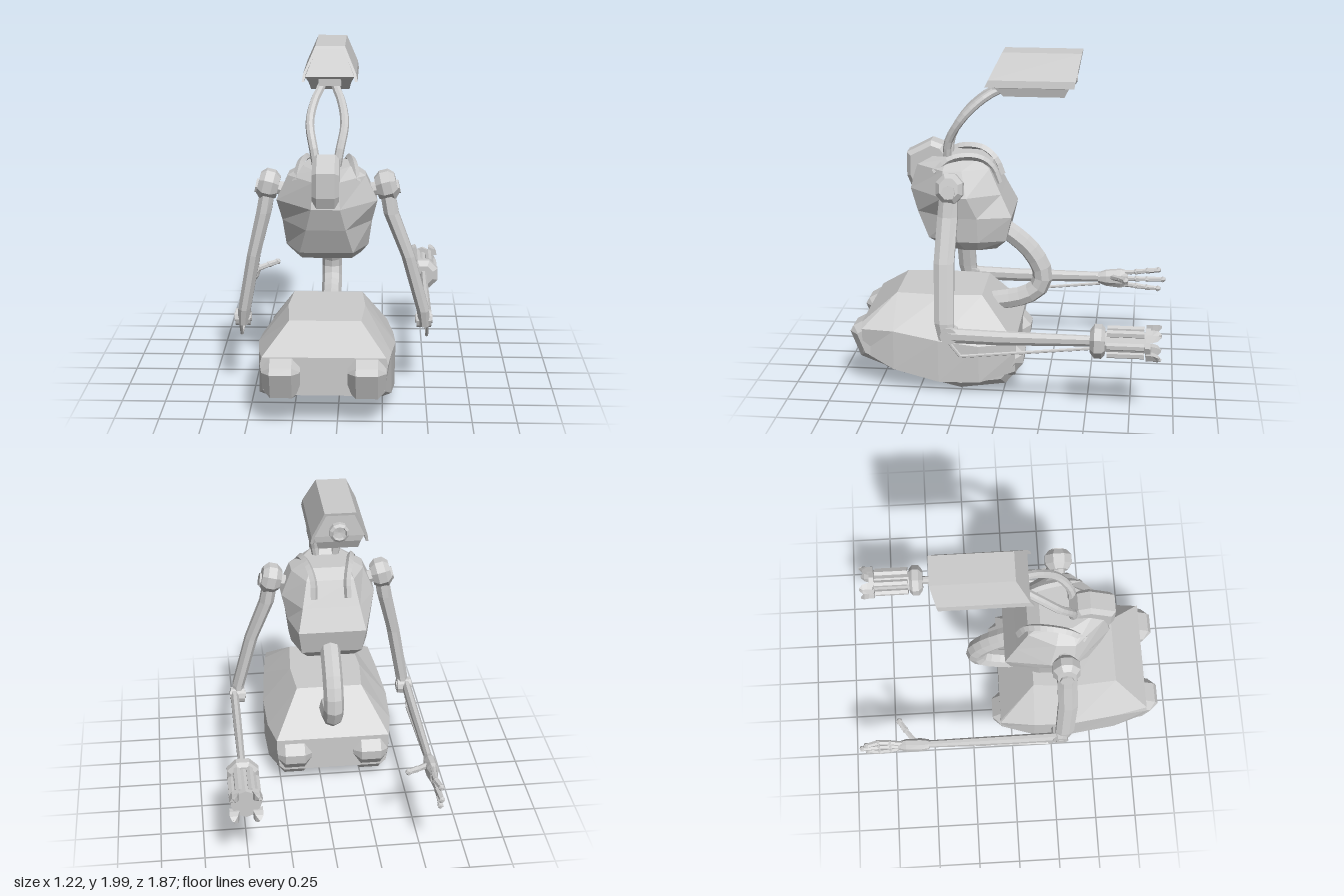
import * as THREE from 'three';

const V = (x, y, z) => new THREE.Vector3(x, y, z);
const mat = new THREE.MeshStandardMaterial({ color: 0xcccccc, flatShading: true });
const CX = -0.066; // centre line of the body

function add(parent, name, geo, x = 0, y = 0, z = 0) {
  const m = new THREE.Mesh(geo, mat);
  m.name = name;
  m.position.set(x, y, z);
  parent.add(m);
  return m;
}

// Closed skin over a row of rings with equal point counts, turned to face outward.
function loft(rings) {
  const n = rings[0].length, tris = [];
  for (let r = 0; r + 1 < rings.length; r++) {
    for (let i = 0; i < n; i++) {
      const j = (i + 1) % n, [a, b] = [rings[r], rings[r + 1]];
      tris.push([a[i], a[j], b[j]], [a[i], b[j], b[i]]);
    }
  }
  const cap = (ring, flip) => {
    const c = V(0, 0, 0);
    ring.forEach(p => c.addScaledVector(p, 1 / n));
    ring.forEach((p, i) => {
      const q = ring[(i + 1) % n];
      tris.push(flip ? [c, q, p] : [c, p, q]);
    });
  };
  cap(rings[0], true);
  cap(rings[rings.length - 1], false);
  const o = rings[0][0];
  let vol = 0;
  for (const [a, b, c] of tris) vol += a.clone().sub(o).dot(b.clone().sub(o).cross(c.clone().sub(o)));
  if (vol < 0) tris.forEach(t => t.reverse());
  const g = new THREE.BufferGeometry().setFromPoints(tris.flat());
  g.computeVertexNormals();
  return g;
}

// Eight-sided limb: stations of [x, y, z, radiusX, radius across], along y or z.
function limb(stations, axis) {
  return loft(stations.map(([x, y, z, a, b]) => Array.from({ length: 8 }, (_, i) => {
    const t = (i + 0.5) * Math.PI / 4, u = a * Math.cos(t) * 1.08, v = b * Math.sin(t) * 1.08;
    return axis === 'y' ? V(x + u, y, z + v) : V(x + u, y + v, z);
  })));
}

// Side profile of [z, y] points given thickness along x, with chamfered edges.
function slab(profile, width, bevel) {
  const s = new THREE.Shape(profile.map(p => new THREE.Vector2(...p)));
  const g = new THREE.ExtrudeGeometry(s, { depth: width - 2 * bevel, bevelThickness: bevel, bevelSize: bevel, bevelOffset: -bevel, bevelSegments: 1 });
  return g.translate(0, 0, bevel - width / 2).rotateY(-Math.PI / 2);
}

const tube = (pts, r, sides = 8, seg = 14) =>
  new THREE.TubeGeometry(new THREE.CatmullRomCurve3(pts.map(p => V(...p))), seg, r, sides);

const lathe = (pts, sides) => new THREE.LatheGeometry(pts.map(p => new THREE.Vector2(...p)), sides);

function rod(parent, name, a, b, r, sides = 6, r2 = r) {
  const p = V(...a), q = V(...b);
  const m = add(parent, name, new THREE.CylinderGeometry(r2, r, p.distanceTo(q), sides));
  m.position.copy(p).add(q).multiplyScalar(0.5);
  m.quaternion.setFromUnitVectors(V(0, 1, 0), q.sub(p).normalize());
  return m;
}

function buildBase(root) {
  const g = new THREE.Group();
  g.name = 'base';
  g.position.x = CX - 0.005;
  root.add(g);
  // z, then y and half width of the deck, shoulder, lower side and floor
  const hull = [
    [-0.07, 0.325, 0.345, 0.27, 0.345, 0.14, 0.33, 0.11, 0.30],
    [0.14, 0.565, 0.20, 0.31, 0.385, 0.08, 0.38, 0.06, 0.33],
    [0.38, 0.565, 0.22, 0.34, 0.395, 0.08, 0.39, 0.06, 0.34],
    [0.65, 0.565, 0.20, 0.38, 0.37, 0.14, 0.37, 0.12, 0.32],
    [0.84, 0.42, 0.34, 0.38, 0.35, 0.23, 0.33, 0.20, 0.30],
  ].map(([z, ...s]) => {
    const side = [0, 2, 4, 6].map(i => V(s[i + 1], s[i], z));
    return [...side, ...side.slice().reverse().map(p => V(-p.x, p.y, z))];
  });
  add(g, 'hull', loft(hull));
  const track = [[0.92, 0.345], [0.9, 0.38], [0.83, 0.42], [0.4, 0.34], [-0.05, 0.32], [-0.12, 0.24], [-0.115, 0.18],
    [-0.01, 0.05], [0.26, 0.01], [0.6, 0.09], [0.86, 0.19]];
  for (const s of [-1, 1]) add(g, 'track', slab(track, 0.21, 0.045), s * 0.235);
  add(root, 'waist', tube([[-0.06, 0.98, 0.13], [-0.06, 0.91, 0], [-0.06, 0.785, -0.14], [-0.06, 0.65, -0.205],
    [-0.06, 0.56, -0.18], [-0.06, 0.5, -0.08], [-0.06, 0.46, 0.12]], 0.06));
}

function buildTorso(root) {
  const g = new THREE.Group();
  g.name = 'torso';
  g.position.x = CX - 0.005;
  root.add(g);
  // y, front z, back z, half widths at front, middle and back
  const rings = [
    [0.84, 0.36, 0.06, 0.14, 0.19, 0.14],
    [0.90, 0.46, 0.0, 0.15, 0.235, 0.18],
    [1.05, 0.53, -0.035, 0.11, 0.255, 0.20],
    [1.18, 0.575, 0.03, 0.08, 0.285, 0.17],
    [1.325, 0.54, 0.1, 0.07, 0.22, 0.14],
    [1.375, 0.47, 0.17, 0.06, 0.13, 0.11],
  ].map(([y, f, b, hf, hm, hb]) => {
    const side = [V(hf, y, f), V(hm, y, b + (f - b) * 0.6), V(hm * 0.98, y, b + (f - b) * 0.35), V(hb, y, b)];
    return [...side, ...side.slice().reverse().map(p => V(-p.x, y, p.z))];
  });
  add(g, 'chest', loft(rings));
  add(g, 'breastRidge', slab([[0.6, 1.25], [0.6, 1.39], [0.455, 1.465], [0.385, 1.44], [0.33, 1.36], [0.3, 1.1], [0.53, 1.08]], 0.15, 0.025));
  for (const s of [-1, 1]) {
    add(g, 'shoulderStrap', tube([[s * 0.17, 1.3, 0.42], [s * 0.15, 1.38, 0.32], [s * 0.12, 1.385, 0.17],
      [s * 0.1, 1.325, 0.09], [s * 0.1, 1.23, 0.05]], 0.022, 4));
    add(g, 'neckTube', tube([[s * 0.05, 1.33, 0.36], [s * 0.072, 1.46, 0.35], [s * 0.098, 1.6, 0.27],
      [s * 0.075, 1.71, 0.16], [s * 0.045, 1.765, 0.07], [s * 0.035, 1.80, -0.03]], 0.025));
  }
}

function buildHead(root) {
  const g = new THREE.Group();
  g.name = 'head';
  g.position.x = CX + 0.003;
  root.add(g);
  // Thin folded hood, its ends slanted by height
  const hood = new THREE.Shape([[-0.158, 1.81], [-0.152, 1.85], [-0.085, 2], [0.085, 2], [0.152, 1.85], [0.158, 1.81],
    [0.143, 1.81], [0.138, 1.847], [0.076, 1.985], [-0.076, 1.985], [-0.138, 1.847], [-0.143, 1.81]].map(p => new THREE.Vector2(...p)));
  const geo = new THREE.ExtrudeGeometry(hood, { depth: 1, bevelEnabled: false });
  const pos = geo.attributes.position;
  for (let i = 0; i < pos.count; i++) {
    const k = (pos.getY(i) - 1.82) / 0.18;
    pos.setZ(i, THREE.MathUtils.lerp(-0.39 - 0.035 * k, 0.12 - 0.09 * k, pos.getZ(i)));
  }
  geo.computeVertexNormals();
  add(g, 'hood', geo);
  const core = [[1.75, 0.11, 0.02, -0.33], [1.80, 0.122, 0.07, -0.355], [1.835, 0.14, 0.105, -0.36], [1.988, 0.076, 0.03, -0.36]];
  add(g, 'cameraBody', loft(core.map(([y, w, f, b]) => [V(w, y, f), V(w, y, b), V(-w, y, b), V(-w, y, f)])));
  const lens = lathe([[0, 0], [0.055, 0], [0.055, 0.03], [0.04, 0.04], [0.034, 0.025], [0, 0.02]], 10);
  add(g, 'lens', lens, 0, 1.865, -0.358).rotation.x = -Math.PI / 2;
  add(g, 'neckMount', new THREE.BoxGeometry(0.13, 0.06, 0.08), 0, 1.81, 0.05);
}

// Shoulder, upper arm, elbow, forearm and tendon rod for one side
function buildArm(root, s, shoulderX, elbowX, wristX) {
  const g = new THREE.Group();
  g.name = s > 0 ? 'leftArm' : 'rightArm';
  root.add(g);
  const cap = lathe([[0, -0.06], [0.065, -0.06], [0.095, -0.025], [0.095, 0.025], [0.065, 0.055], [0, 0.055]], 8);
  cap.rotateY(Math.PI / 8).scale(0.98, 1, 0.88).rotateZ(-s * (Math.PI / 2 - 0.25));
  add(g, 'shoulder', cap, shoulderX, 1.255, 0.305);
  rod(g, 'shoulderAxle', [shoulderX - s * 0.13, 1.22, 0.3], [shoulderX, 1.25, 0.305], 0.04, 8);
  rod(g, 'shoulderHub', [shoulderX, 1.235, 0.305], [shoulderX + s * 0.07, 1.25, 0.305], 0.04, 8);
  const mid = THREE.MathUtils.lerp(shoulderX, elbowX, 0.55);
  add(g, 'upperArm', limb([
    [shoulderX, 1.24, 0.31, 0.042, 0.05],
    [shoulderX + s * 0.025, 1.1, 0.315, 0.043, 0.058],
    [mid, 0.85, 0.325, 0.038, 0.058],
    [elbowX - s * 0.01, 0.52, 0.315, 0.036, 0.055],
    [elbowX, 0.42, 0.3, 0.03, 0.045],
  ], 'y'));
  rod(g, 'elbow', [elbowX - 0.045, 0.455, 0.285], [elbowX + 0.04, 0.455, 0.285], 0.05, 10);
  rod(g, 'elbowPin', [elbowX - 0.052, 0.455, 0.285], [elbowX + 0.047, 0.455, 0.285], 0.026, 10);
  add(g, 'forearm', limb([
    [wristX, 0.455, 0.29, 0.025, 0.042],
    [wristX, 0.45, 0, 0.025, 0.04],
    [wristX, 0.455, -0.53, 0.02, 0.03],
  ], 'z'));
  rod(g, 'tendonRod', [wristX, 0.43, 0.3], [wristX, 0.328, 0.22], 0.01);
  rod(g, 'tendonRod', [wristX, 0.328, 0.22], [wristX, 0.41, -0.53], 0.01);
  return g;
}

// Barrel gripper with six bars and four claws
function buildGripper(arm, x, y) {
  const g = new THREE.Group();
  g.name = 'gripper';
  g.position.set(x, y, 0);
  arm.add(g);
  const cuff = lathe([[0, 0], [0.065, 0], [0.098, 0.025], [0.098, 0.065], [0.075, 0.085], [0, 0.085]], 8);
  add(g, 'cuff', cuff.rotateY(Math.PI / 8), 0, 0, -0.52).rotation.x = -Math.PI / 2;
  rod(g, 'barrel', [0, 0, -0.59], [0, 0, -0.84], 0.062, 8);
  for (let i = 0; i < 6; i++) {
    const t = i * Math.PI / 3, u = 0.072 * Math.cos(t), v = 0.072 * Math.sin(t);
    rod(g, 'bar', [u, v, -0.615], [u, v, -0.825], 0.022);
  }
  rod(g, 'endPlate', [0, 0, -0.83], [0, 0, -0.86], 0.088, 8);
  for (const u of [-1, 1]) for (const v of [-1, 1]) {
    const claw = [[-0.835, 0.055], [-0.87, 0.055], [-0.9, 0.045], [-0.922, 0.026]].map(([z, h]) => {
      const a = 0.094 - h, b = z < -0.91 ? 0.08 : 0.094;
      return [V(u * a, v * a, z), V(u * b, v * a, z), V(u * b * 0.82, v * b * 0.82, z), V(u * a, v * b, z)];
    });
    add(g, 'claw', loft(claw));
  }
}

// Slim hand with three jointed fingers and a thumb
function buildHand(arm, x, y) {
  const g = new THREE.Group();
  g.name = 'hand';
  g.position.set(x, y, 0);
  arm.add(g);
  add(g, 'palm', limb([[0, 0, -0.52, 0.028, 0.032], [0, 0, -0.57, 0.036, 0.05], [0, 0, -0.66, 0.034, 0.06], [0, 0, -0.71, 0.02, 0.05]], 'z'));
  const digit = (name, pts, r) => {
    for (let i = 0; i + 1 < pts.length; i++) {
      rod(g, name, pts[i], pts[i + 1], r, 6, r * 0.8);
      add(g, 'knuckle', new THREE.IcosahedronGeometry(r * 1.1, 0), ...pts[i + 1]);
    }
  };
  for (const k of [-1, 0, 1]) {
    const end = k ? 0.03 : 0;
    digit('finger', [[0, k * 0.038, -0.68], [k * 0.01, k * 0.05, -0.76], [k * 0.012, k * 0.06, -0.83], [-0.005, k * 0.062, -0.93 + end]], 0.018);
  }
  digit('thumb', [[0.01, 0.01, -0.6], [0.09, 0.025, -0.66], [0.145, 0.035, -0.695]], 0.02);
}

export function createModel() {
  const root = new THREE.Group();
  root.name = 'trackedRobot';
  buildBase(root);
  buildTorso(root);
  buildHead(root);
  buildGripper(buildArm(root, 1, 0.267, 0.49, 0.508), 0.508, 0.455);
  buildHand(buildArm(root, -1, -0.405, -0.56, -0.578), -0.578, 0.45);
  return root;
}
